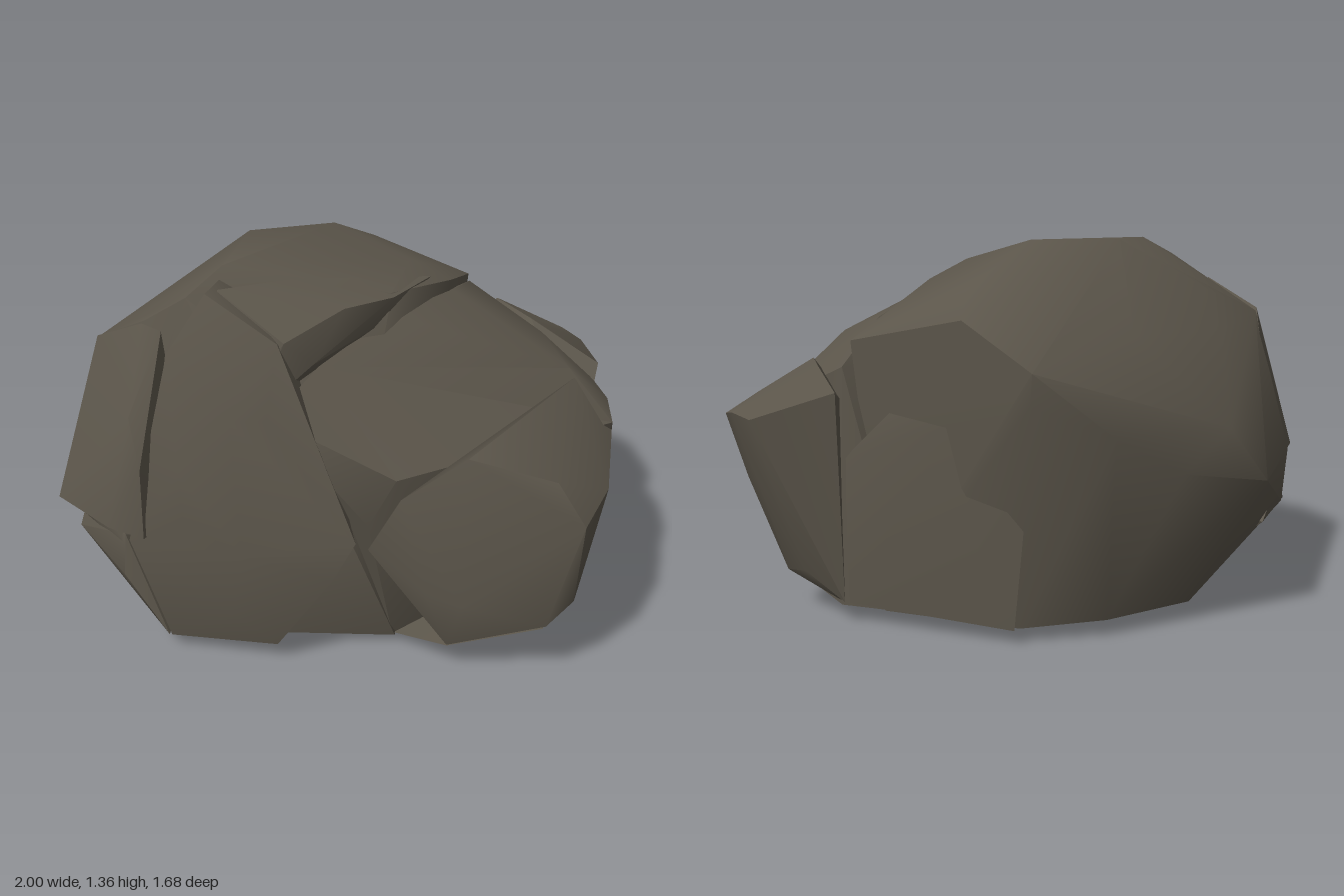
import * as THREE from 'three';
import { ConvexGeometry } from 'three/addons/geometries/ConvexGeometry.js';
import { toCreasedNormals } from 'three/addons/utils/BufferGeometryUtils.js';

const stone = new THREE.MeshStandardMaterial({ color: 0x5c564b });
stone.name = 'stone';

// One weathered block: the hull of a few corners, soft over shallow edges.
function block(name, corners) {
  const hull = new ConvexGeometry(corners.map((c) => new THREE.Vector3(...c)));
  const mesh = new THREE.Mesh(toCreasedNormals(hull, 0.7), stone);
  mesh.name = name;
  return mesh;
}

export function createModel() {
  const rock = new THREE.Group();
  rock.name = 'rock';

  // Large domed mass on the left, running from front to back
  rock.add(block('mainMass', [
    [-0.39, 1.36, 0.44], [-0.4, 1.36, -0.02], [-0.1, 1.36, -0.18], [0.22, 1.28, 0.0],
    [0.37, 1.2, -0.02], [0.18, 1.23, 0.26], [-0.48, 1.29, 0.6], [-0.64, 1.19, 0.57],
    [-0.69, 1.17, 0.2], [-0.86, 1.07, 0.42], [-0.79, 1.03, -0.02], [-0.55, 1.04, -0.42],
    [0.0, 1.2, -0.6], [0.4, 1.02, -0.69], [-0.05, 1.11, -0.79], [-0.31, 0.95, -0.84],
    [-0.3, 0.84, -0.83], [-0.55, 0.72, -0.67], [-0.88, 0.72, -0.34], [-1, 0.52, -0.24],
    [-0.75, 0.58, -0.5], [-0.93, 0.27, 0.1], [-0.99, 0.3, 0.4], [-1, 0.5, 0.5],
    [-0.79, 0.16, -0.15], [-0.73, 0.05, 0.4], [-0.56, 0.05, 0.74], [-0.73, 0.05, -0.25],
    [-0.5, 0.06, -0.57], [-0.23, 0.05, -0.72], [0.3, 0.04, -0.66], [0.25, 0.03, 0.62],
    [-0.74, 0.45, 0.74], [-0.55, 1.08, 0.64], [0.1, 0.5, 0.75], [-0.25, 0.9, 0.7], [-0.1, 1.0, 0.62],
  ]));

  // Overhanging slab at the upper left front
  rock.add(block('leftOverhang', [
    [-1, 0.5, 0.61], [-0.99, 0.5, 0.1], [-0.75, 0.49, 0.79], [-0.62, 0.46, 0.8],
    [-0.86, 1.08, 0.45], [-0.64, 1.19, 0.6], [-0.62, 0.72, 0.79], [-0.66, 0.9, 0.75],
    [-0.56, 1.18, 0.64], [-0.5, 0.5, 0.6],
  ]));

  // Lower ledge under the overhang
  rock.add(block('leftLedge', [
    [-0.99, 0.3, 0.46], [-0.95, 0.28, 0.1], [-0.72, 0.28, 0.75], [-0.79, 0.16, 0.45],
    [-0.68, 0.17, 0.7], [-0.73, 0.05, 0.42], [-0.56, 0.05, 0.77], [-0.7, 0.45, 0.76],
    [-0.99, 0.42, 0.3], [-0.5, 0.3, 0.5],
  ]));

  // Tall front face between the overhang and the split
  rock.add(block('frontFace', [
    [-0.41, 1.31, 0.61], [-0.15, 1.17, 0.68], [-0.53, 1.12, 0.69], [-0.48, 0.72, 0.8],
    [-0.47, 0.55, 0.81], [-0.68, 0.44, 0.78], [-0.55, 0.05, 0.77], [-0.15, 0.07, 0.8],
    [-0.26, 0.45, 0.84], [0.13, 0.5, 0.79], [0.05, 0.35, 0.8], [-0.18, 0.92, 0.75],
    [-0.3, 0.92, 0.77], [-0.3, 0.2, 0.83], [-0.1, 1.0, 0.4], [-0.38, 1.33, 0.44], [-0.4, 0.06, 0.4],
  ]));

  // Cap whose broken lip overhangs the front slope
  rock.add(block('topLip', [
    [-0.13, 1.17, 0.67], [-0.28, 0.93, 0.74], [-0.22, 0.93, 0.72], [-0.04, 1.08, 0.61],
    [-0.07, 1.2, 0.58], [0.04, 1.23, 0.46], [0.19, 1.22, 0.28], [0.17, 1.14, 0.3],
    [-0.15, 1.31, 0.4], [-0.38, 1.31, 0.56], [0.3, 1.23, 0.04], [-0.2, 1.0, 0.3],
  ]));

  // Right-hand slope falling from the ridge to the side
  rock.add(block('rightSlope', [
    [0.38, 1.17, 0.0], [0.18, 1.15, 0.26], [-0.03, 1.06, 0.58], [-0.17, 0.92, 0.73],
    [0.17, 0.56, 0.77], [0.26, 0.72, 0.73], [0.83, 0.91, 0.08], [0.72, 0.99, -0.08],
    [0.42, 1.08, -0.4], [0.99, 0.73, -0.08], [1, 0.73, 0.15], [1, 0.6, 0.12],
    [0.94, 0.72, -0.3], [0.42, 0.93, -0.72], [0.9, 0.27, 0.2], [0.87, 0.3, -0.3],
    [0.78, 0.01, 0.1], [0.72, 0.03, -0.05], [0.24, 0.04, 0.62], [0.2, 0.05, -0.68],
    [0.45, 0.06, -0.7], [0.7, 0.13, -0.57], [0.67, 0.0, 0.34],
  ]));

  // Bulging boulder at the lower right front
  rock.add(block('frontRightBoulder', [
    [0.17, 0.47, 0.77], [0.28, 0.67, 0.77], [0.5, 0.82, 0.73], [0.8, 0.74, 0.7],
    [0.9, 0.6, 0.74], [0.98, 0.63, 0.5], [1, 0.7, 0.14], [0.85, 0.88, 0.1],
    [0.38, 0.33, 0.82], [0.5, 0.3, 0.82], [0.79, 0.22, 0.77], [0.88, 0.3, 0.72],
    [0.45, 0.11, 0.77], [0.88, 0.26, 0.5], [0.75, 0.1, 0.5], [0.4, 0.1, 0.3], [0.95, 0.55, 0.1],
  ]));

  // Foot of the boulder, undercut at the front
  rock.add(block('frontRightFoot', [
    [0.79, 0.0, 0.18], [0.67, 0.0, 0.36], [0.85, 0.12, 0.38], [0.78, 0.19, 0.74],
    [0.45, 0.1, 0.76], [0.6, 0.04, 0.48], [0.9, 0.27, 0.45], [0.25, 0.04, 0.62],
    [0.79, 0.0, 0.05], [0.88, 0.25, 0.05], [0.3, 0.1, 0.0],
  ]));

  // Back corner block, set off by a shallow step from the slope
  rock.add(block('backRightCorner', [
    [0.96, 0.77, -0.35], [0.96, 0.72, -0.5], [0.9, 0.74, -0.7], [0.82, 0.76, -0.79],
    [0.74, 0.74, -0.81], [0.68, 0.92, -0.43], [0.53, 0.92, -0.68], [0.44, 0.84, -0.74],
    [0.84, 0.5, -0.66], [0.76, 0.5, -0.73], [0.72, 0.14, -0.6], [0.6, 0.17, -0.69],
    [0.44, 0.07, -0.7], [0.91, 0.5, -0.35], [0.72, 0.05, -0.1], [0.9, 0.55, 0.0], [0.4, 0.5, -0.3],
  ]));

  // Low shoulder closing the back of the valley
  rock.add(block('backShoulder', [
    [0.0, 0.75, -0.76], [0.2, 0.82, -0.71], [0.43, 0.6, -0.71], [0.42, 0.07, -0.7],
    [-0.1, 0.3, -0.76], [-0.22, 0.05, -0.75], [-0.28, 0.6, -0.78], [0.1, 0.5, -0.4],
  ]));

  return rock;
}
